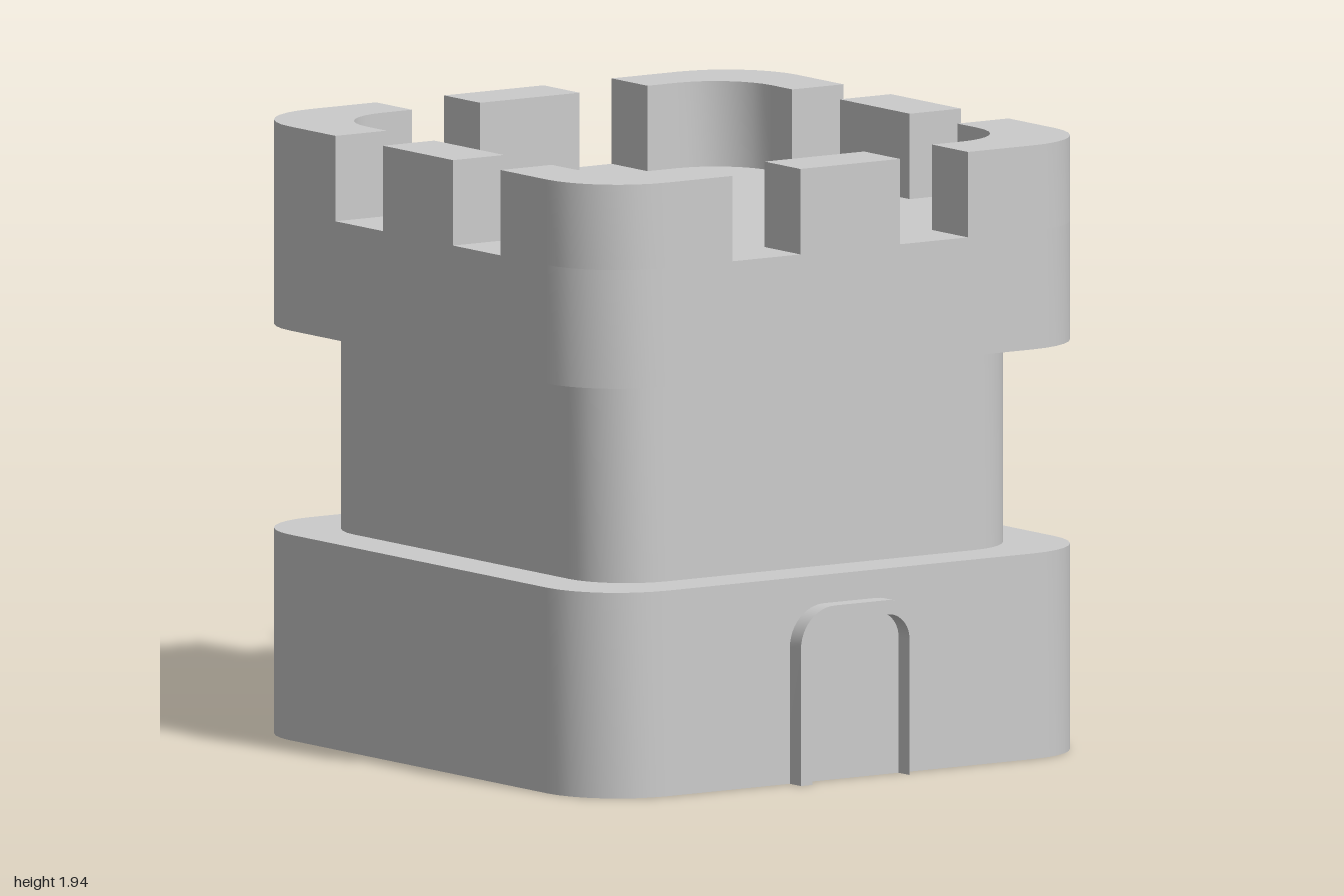
import * as THREE from 'three';
import { toCreasedNormals } from 'three/addons/utils/BufferGeometryUtils.js';

const material = new THREE.MeshStandardMaterial({ color: 0xcccccc });
const shellMaterial = new THREE.MeshStandardMaterial({ color: 0xcccccc, side: THREE.DoubleSide });

const HALF = 0.97;       // half width of base and crown
const RADIUS = 0.27;     // their corner radius
const INNER = 0.775;     // half width inside the battlements
const INNER_RADIUS = 0.215;
const GAP_IN = 0.19, GAP_OUT = 0.45; // notch limits along each side

// Square with rounded corners, centred on the origin
function roundedSquare(half, r) {
  const s = new THREE.Shape();
  const c = half - r;
  [[c, c], [-c, c], [-c, -c], [c, -c]].forEach(([x, y], i) =>
    s.absarc(x, y, r, i * Math.PI / 2, (i + 1) * Math.PI / 2, false));
  s.closePath();
  return s;
}

function extrude(shape, depth, curveSegments = 4) {
  return new THREE.ExtrudeGeometry(shape, { depth, curveSegments, bevelEnabled: false });
}

// Extrude a plan shape upward from y0 to y1
function block(name, shape, y0, y1, openBottom = false) {
  let geometry = extrude(shape, y1 - y0);
  if (openBottom) {
    // the bottom lid is the first half of the lid group
    const skip = geometry.groups[0].count / 2 * 3;
    const kept = geometry.attributes.position.array.slice(skip);
    geometry = new THREE.BufferGeometry();
    geometry.setAttribute('position', new THREE.BufferAttribute(kept, 3));
  }
  geometry.rotateX(-Math.PI / 2).translate(0, y0, 0);
  const mesh = new THREE.Mesh(toCreasedNormals(geometry, 0.6), openBottom ? shellMaterial : material);
  mesh.name = name;
  return mesh;
}

// L-shaped battlement wrapping one rounded corner
function cornerShape() {
  const c = HALF - RADIUS, d = INNER - INNER_RADIUS;
  const s = new THREE.Shape();
  s.moveTo(GAP_OUT, INNER);
  s.lineTo(GAP_OUT, HALF);
  s.absarc(c, c, RADIUS, Math.PI / 2, 0, true);
  s.lineTo(HALF, GAP_OUT);
  s.lineTo(INNER, GAP_OUT);
  s.absarc(d, d, INNER_RADIUS, 0, Math.PI / 2, false);
  s.closePath();
  return s;
}

// Straight battlement in the middle of one side
function middleShape() {
  const s = new THREE.Shape();
  s.moveTo(-GAP_IN, INNER);
  s.lineTo(GAP_IN, INNER);
  s.lineTo(GAP_IN, HALF);
  s.lineTo(-GAP_IN, HALF);
  s.closePath();
  return s;
}

// Raised door surround: one outline up and over, then back along the inside
function doorFrame() {
  const w = 0.23, h = 0.56, r = 0.13, t = 0.045, q = r - t;
  const s = new THREE.Shape();
  s.moveTo(w, 0);
  s.absarc(w - r, h - r, r, 0, Math.PI / 2, false);
  s.absarc(r - w, h - r, r, Math.PI / 2, Math.PI, false);
  s.lineTo(-w, 0);
  s.lineTo(t - w, 0);
  s.absarc(r - w, h - r, q, Math.PI, Math.PI / 2, true);
  s.absarc(w - r, h - r, q, Math.PI / 2, 0, true);
  s.lineTo(w - t, 0);
  s.closePath();
  const mesh = new THREE.Mesh(toCreasedNormals(extrude(s, 0.06, 6), 0.6), material);
  mesh.name = 'doorFrame';
  mesh.position.z = 0.94;
  return mesh;
}

export function createModel() {
  const model = new THREE.Group();
  model.name = 'castleTower';

  // Tower body, set back slightly so the door surround fits in front
  const tower = new THREE.Group();
  tower.name = 'tower';
  tower.position.z = -0.03;
  tower.add(
    block('base', roundedSquare(HALF, RADIUS), 0, 0.65, true),
    block('neck', roundedSquare(0.805, 0.22), 0.65, 1.295),
    block('crown', roundedSquare(HALF, RADIUS), 1.295, 1.67),
  );

  // Battlements: a corner and a middle piece for each of the four sides
  for (let i = 0; i < 4; i++) {
    const corner = block('cornerBattlement', cornerShape(), 1.67, 1.94);
    const middle = block('middleBattlement', middleShape(), 1.67, 1.94);
    corner.rotation.y = middle.rotation.y = i * Math.PI / 2;
    tower.add(corner, middle);
  }

  model.add(tower, doorFrame());
  return model;
}
